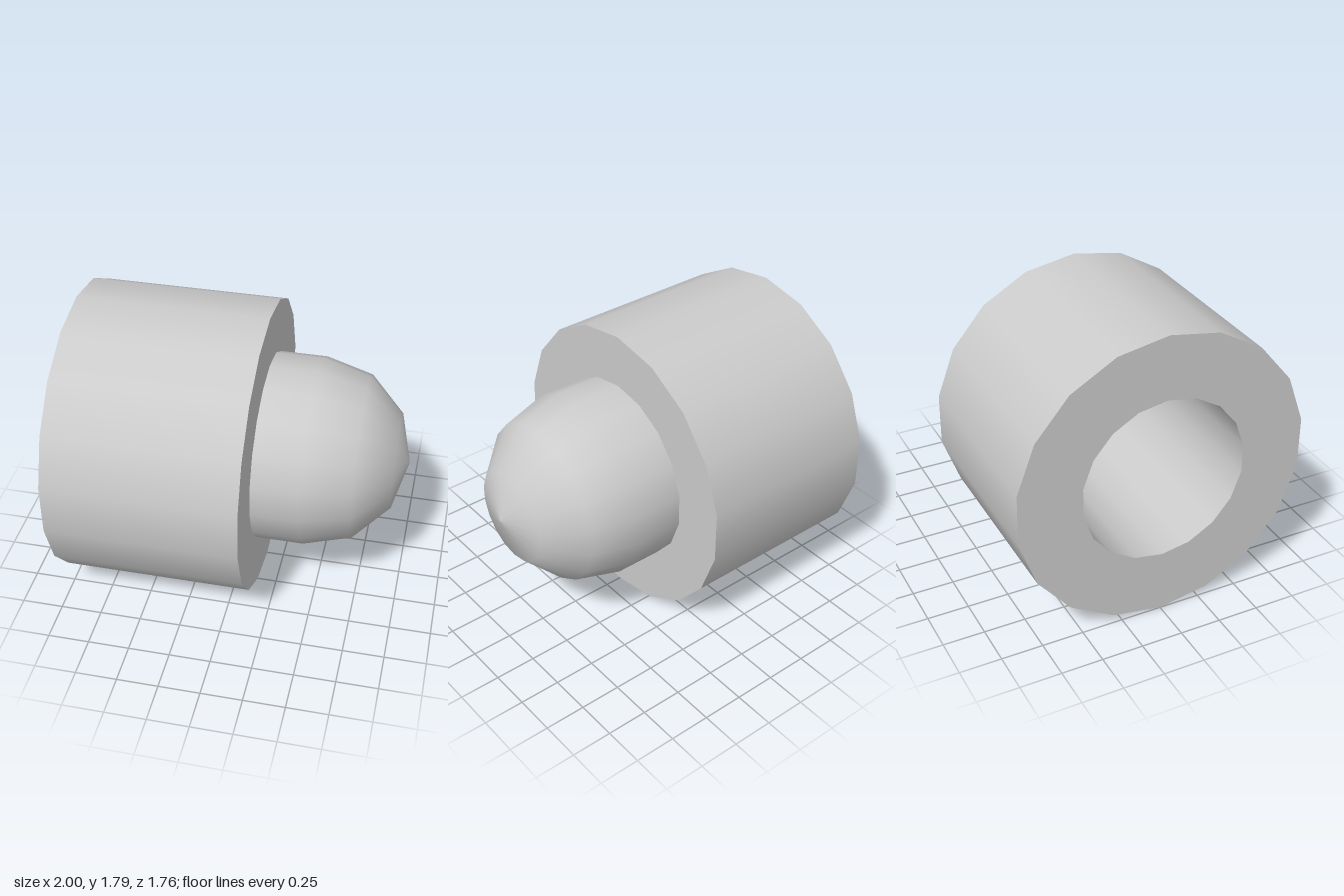
import * as THREE from 'three';

const SIDES = 18;
const AXIS_Y = 0.893;
const BACK = -1, SHOULDER = 0.143, DOME_START = 0.43;
const OUTER = 0.893, DOME = 0.57, BORE = 0.505;

const material = new THREE.MeshStandardMaterial({ color: 0xcccccc });

// Turned surface from [radius, x] points; each part has its own normals, so joints stay sharp
function turned(name, points) {
  const profile = points.map(([r, x]) => new THREE.Vector2(r, x));
  const geometry = new THREE.LatheGeometry(profile, SIDES, Math.PI / 2);
  const mesh = new THREE.Mesh(geometry, material);
  mesh.name = name;
  return mesh;
}

export function createModel() {
  const group = new THREE.Group();
  group.name = 'domedCapNut';

  // Quarter arc of the rounded end, in three steps
  const dome = [[DOME, SHOULDER]];
  for (let i = 0; i <= 3; i++) {
    const a = (i / 3) * Math.PI / 2;
    dome.push([i === 3 ? 0 : DOME * Math.cos(a), DOME_START + DOME * Math.sin(a)]);
  }

  const body = new THREE.Group();
  body.name = 'body';
  body.add(
    turned('boreEnd', [[0, DOME_START], [BORE, DOME_START]]),
    turned('boreWall', [[BORE, DOME_START], [BORE, BACK]]),
    turned('backFace', [[BORE, BACK], [OUTER, BACK]]),
    turned('collar', [[OUTER, BACK], [OUTER, SHOULDER]]),
    turned('shoulder', [[OUTER, SHOULDER], [DOME, SHOULDER]]),
    turned('dome', dome)
  );

  // Lay the turning axis along x
  body.rotation.z = -Math.PI / 2;
  body.position.y = AXIS_Y;
  group.add(body);
  return group;
}
